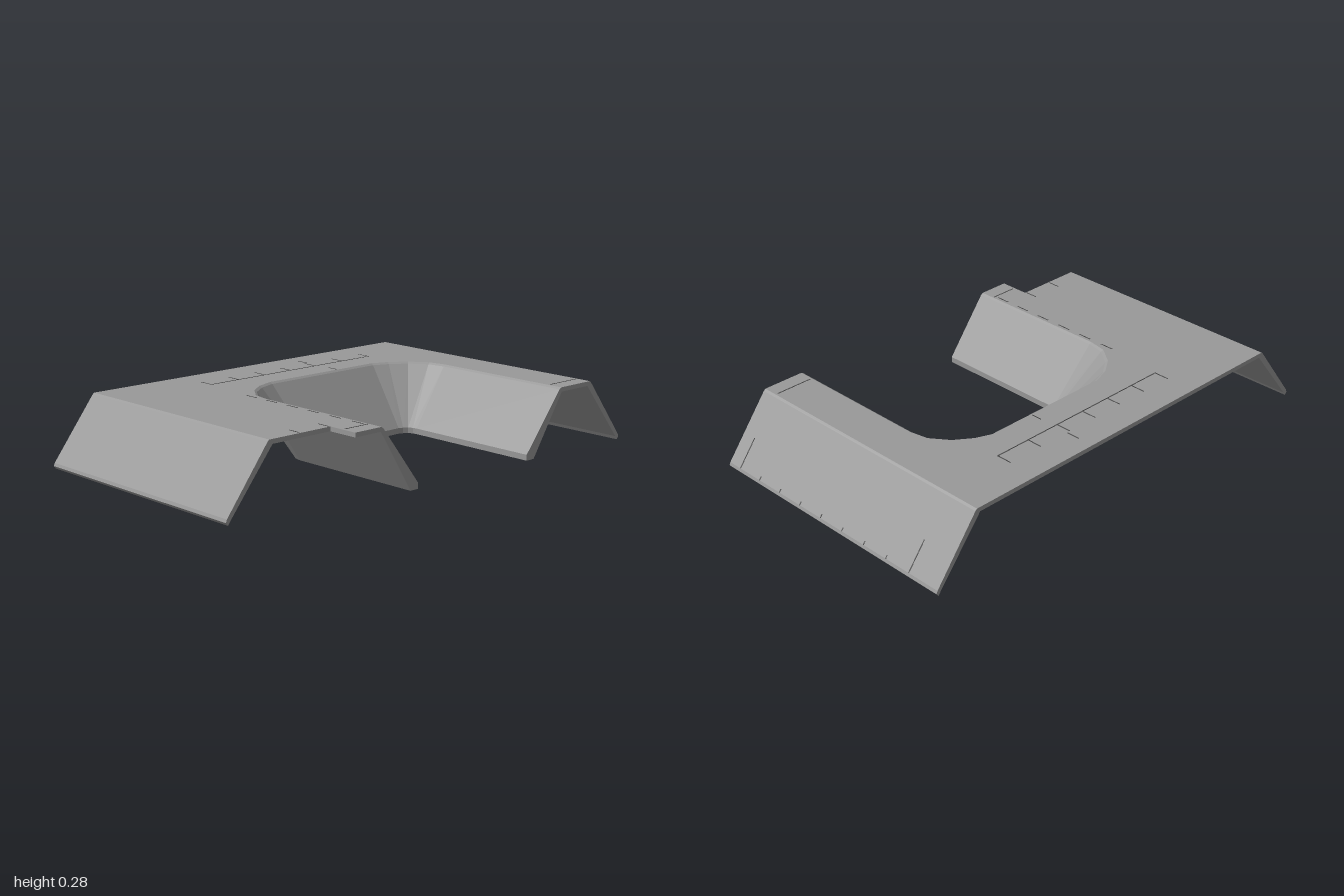
import * as THREE from 'three';

const TOP = 0.275, UNDER = 0.257, BACK = -0.6, FRONT = 0.59, NOTCH = 0.46;

// rim of the opening: [top x, top z, bottom x, bottom z], front left round to front right
const RIM = [
  [-0.38, FRONT, -0.19, FRONT], [-0.38, -0.05, -0.19, -0.02],
  [-0.365, -0.13, -0.185, -0.04], [-0.31, -0.205, -0.17, -0.058],
  [-0.24, -0.255, -0.145, -0.07], [-0.16, -0.283, -0.12, -0.077],
  [0.41, -0.283, 0.37, -0.077], [0.48, -0.255, 0.39, -0.07],
  [0.55, -0.205, 0.408, -0.058], [0.605, -0.13, 0.418, -0.04],
  [0.62, -0.05, 0.42, -0.02], [0.62, FRONT, 0.42, FRONT],
];

// wall section: [fraction from top rim to bottom rim, height]
const SECTION = [[0, TOP], [0.05, 0.268], [1, 0.032], [1, 0.008], [0.79, 0.008], [-0.02, UNDER]];

function polygon(points) {
  return new THREE.Shape(points.map(([x, y]) => new THREE.Vector2(x, y)));
}

// loft the sloping wall around the rim
function innerWallGeometry() {
  const n = SECTION.length, pos = [], index = [];
  for (const [tx, tz, bx, bz] of RIM) {
    for (const [t, y] of SECTION) pos.push(tx + (bx - tx) * t, y, tz + (bz - tz) * t);
  }
  for (let i = 0; i < RIM.length - 1; i++) {
    for (let j = 0; j < n; j++) {
      const a = i * n + j, b = i * n + (j + 1) % n;
      index.push(a, b, a + n, b, b + n, a + n);
    }
  }
  const last = (RIM.length - 1) * n;
  for (let k = 1; k < n - 1; k++) {
    index.push(0, k + 1, k, last, last + k, last + k + 1);
  }
  const g = new THREE.BufferGeometry();
  g.setAttribute('position', new THREE.Float32BufferAttribute(pos, 3));
  g.setIndex(index);
  const flat = g.toNonIndexed();
  flat.computeVertexNormals();
  return flat;
}

export function createModel() {
  const model = new THREE.Group();
  const grey = new THREE.MeshStandardMaterial({ color: 0x999999 });
  grey.name = 'roof grey';
  const dark = new THREE.MeshStandardMaterial({ color: 0x444444 });
  dark.name = 'seam grey';

  function add(name, geometry, material = grey, parent = model) {
    const mesh = new THREE.Mesh(geometry, material);
    mesh.name = name;
    parent.add(mesh);
    return mesh;
  }

  // flat deck with the U-shaped opening and the stepped front left corner
  const outline = [
    [-0.8, BACK], [-0.8, NOTCH], [-0.51, NOTCH], [-0.51, FRONT],
    ...RIM.map(([x, z]) => [x, z]), [0.8, FRONT], [0.8, BACK],
  ].map(([x, z]) => [x, -z]);
  const deck = add('deck', new THREE.ExtrudeGeometry(polygon(outline),
    { depth: TOP - UNDER, bevelEnabled: false }));
  deck.rotation.x = -Math.PI / 2;
  deck.position.y = UNDER;

  add('innerWall', innerWallGeometry());

  // sloping outer sides
  for (const [name, s, front] of [['leftSlope', 1, FRONT], ['rightSlope', -1, NOTCH]]) {
    const section = [[0.785, UNDER], [0.98, 0.015], [0.99, 0], [1, 0.012], [0.995, 0.024],
      [0.808, 0.268], [0.8, TOP], [0.785, TOP]].map(([x, y]) => [x * s, y]);
    const slope = add(name, new THREE.ExtrudeGeometry(polygon(section),
      { depth: front - BACK, bevelEnabled: false }));
    slope.position.z = BACK;
  }

  // thin seams lying on the deck
  const seams = new THREE.Group();
  seams.name = 'deckSeams';
  model.add(seams);
  const W = 0.004;
  function seam(x0, z0, x1, z1) {
    const m = add('seam', new THREE.BoxGeometry(Math.max(x1 - x0, W), 0.002, Math.max(z1 - z0, W)), dark, seams);
    m.position.set((x0 + x1) / 2, TOP, (z0 + z1) / 2);
  }
  seam(-0.37, -0.405, 0.51, -0.405);
  for (const x of [-0.367, -0.225, -0.085, 0.055, 0.195, 0.35, 0.507]) seam(x, -0.47, x, -0.405);
  seam(0.21, -0.53, 0.21, -0.475);
  seam(0.21, -0.335, 0.21, -0.29);
  for (const x of [-0.655, -0.515]) seam(x, 0.4, x, 0.455);
  seam(-0.5, 0.525, -0.385, 0.525);
  seam(0.63, 0.525, 0.79, 0.525);
  for (let z = -0.15; z < 0.5; z += 0.12) seam(-0.395, z, -0.395, z + 0.06);

  // short plank joints along the lower edge of the left slope
  const pitch = Math.atan2(0.244, 0.187);
  function slopeSeam(z, length) {
    const m = add('slopeSeam', new THREE.BoxGeometry(length, 0.002, W), dark, seams);
    const d = length / 2;
    m.position.set(0.995 - Math.cos(pitch) * d, 0.024 + Math.sin(pitch) * d, z);
    m.rotation.z = -pitch;
  }
  for (let i = 0; i < 7; i++) slopeSeam(0.405 - i * 0.122, 0.015);
  slopeSeam(-0.45, 0.13);
  slopeSeam(0.525, 0.13);

  return model;
}
